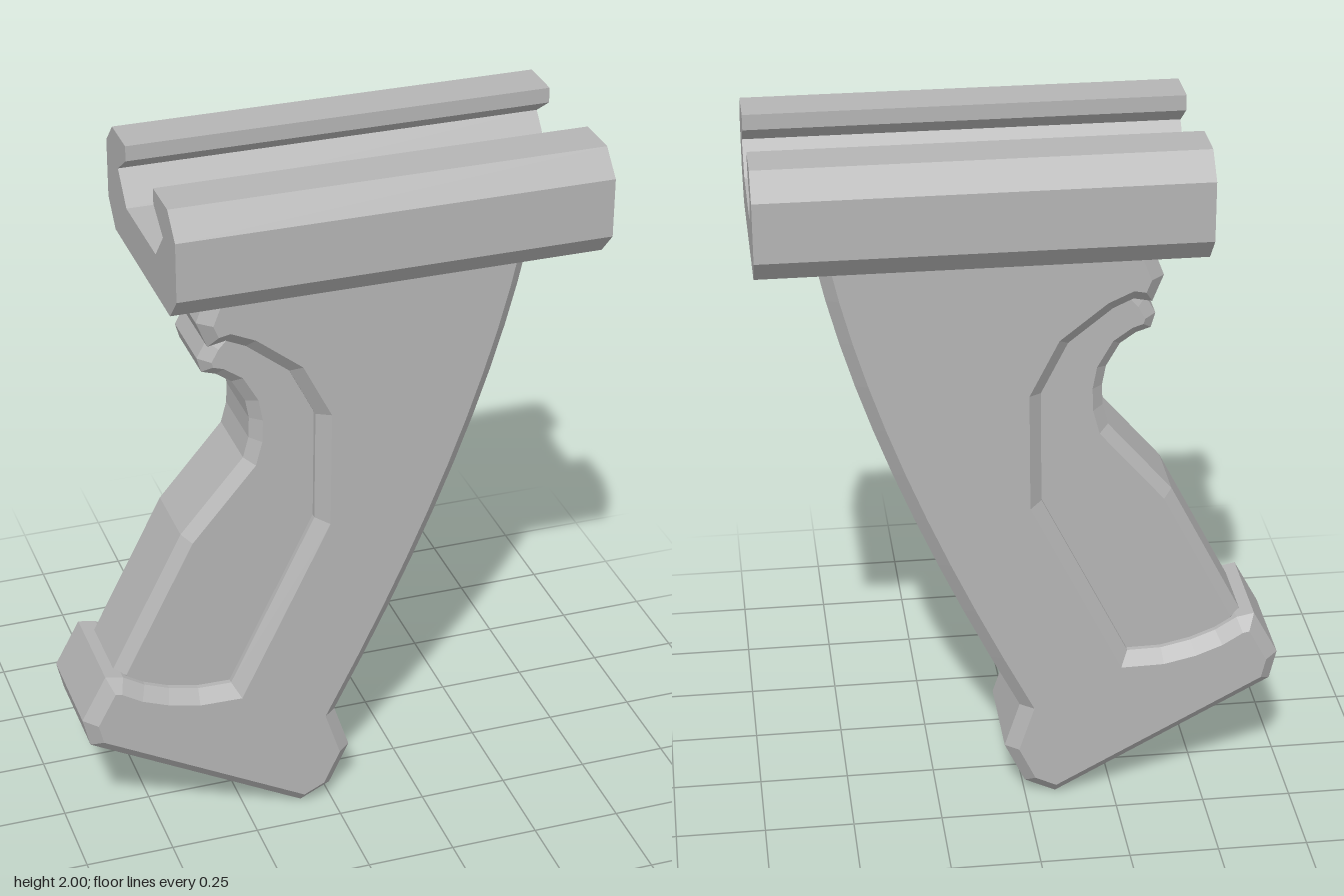
import * as THREE from 'three';

const grey = new THREE.MeshStandardMaterial({ color: 0xb4b4b4, flatShading: true });
grey.name = 'grey';

// Outline in x/y, thickened evenly about z = 0, with chamfered rims kept inside the outline
function chamferedPlate(name, shape, halfWidth, chamfer) {
  const geometry = new THREE.ExtrudeGeometry(shape, {
    depth: 2 * (halfWidth - chamfer),
    bevelEnabled: true,
    bevelSegments: 1,
    bevelSize: chamfer,
    bevelThickness: chamfer,
    bevelOffset: -chamfer,
    curveSegments: 10,
  });
  geometry.translate(0, 0, -(halfWidth - chamfer));
  const mesh = new THREE.Mesh(geometry, grey);
  mesh.name = name;
  return mesh;
}

function polygon(points) {
  return new THREE.Shape(points.map(([x, y]) => new THREE.Vector2(x, y)));
}

export function createModel() {
  const model = new THREE.Group();
  model.name = 'railGrip';

  // Wide grip frame: curved spine, flared foot and tang, hollowed for the palm
  const frame = new THREE.Shape();
  frame.moveTo(0.015, 0.3);
  frame.quadraticCurveTo(0.437, 1.11, 0.555, 1.7);
  const rim = [
    [0.56, 1.76], [-0.31, 1.76], [-0.335, 1.695], [-0.37, 1.605], [-0.34, 1.53],
    // edge of the palm recess
    [-0.29, 1.54], [-0.235, 1.515], [-0.115, 1.42], [-0.042, 1.275], [-0.045, 0.95],
    [-0.29, 0.455], [-0.386, 0.457], [-0.47, 0.476], [-0.54, 0.503], [-0.6, 0.54],
    // foot
    [-0.65, 0.55], [-0.72, 0.42], [-0.7, 0.335], [-0.087, 0.003], [0, 0.045], [0.058, 0.167],
  ];
  rim.forEach(([x, y]) => frame.lineTo(x, y));
  frame.closePath();
  model.add(chamferedPlate('gripFrame', frame, 0.182, 0.035));

  // Narrower palm panel set into the recess, with a small finger nub at its top
  const panel = polygon([
    [-0.57, 0.44], [-0.62, 0.535], [-0.413, 0.94], [-0.233, 1.15], [-0.217, 1.21],
    [-0.215, 1.27], [-0.225, 1.325], [-0.262, 1.39], [-0.305, 1.42], [-0.345, 1.433],
    [-0.357, 1.475], [-0.33, 1.525], [-0.28, 1.58], [-0.15, 1.52], [0.03, 1.35],
    [0.03, 0.95], [-0.25, 0.36], [-0.4, 0.36],
  ].reverse());
  model.add(chamferedPlate('palmPanel', panel, 0.132, 0.03));

  // Slotted mounting rail: one half of the cross-section, mirrored
  const half = [
    [0.262, 1.7], [0.327, 1.77], [0.327, 1.935], [0.262, 2],
    [0.132, 2], [0.132, 1.957], [0.215, 1.9], [0.14, 1.817],
  ];
  const mirrored = half.map(([z, y]) => [-z, y]).reverse();
  const railGeometry = new THREE.ExtrudeGeometry(polygon([...half, ...mirrored]), {
    depth: 1.187,
    bevelEnabled: false,
  });
  railGeometry.rotateY(Math.PI / 2);
  railGeometry.translate(-0.47, 0, 0);
  const rail = new THREE.Mesh(railGeometry, grey);
  rail.name = 'mountingRail';
  model.add(rail);

  return model;
}
